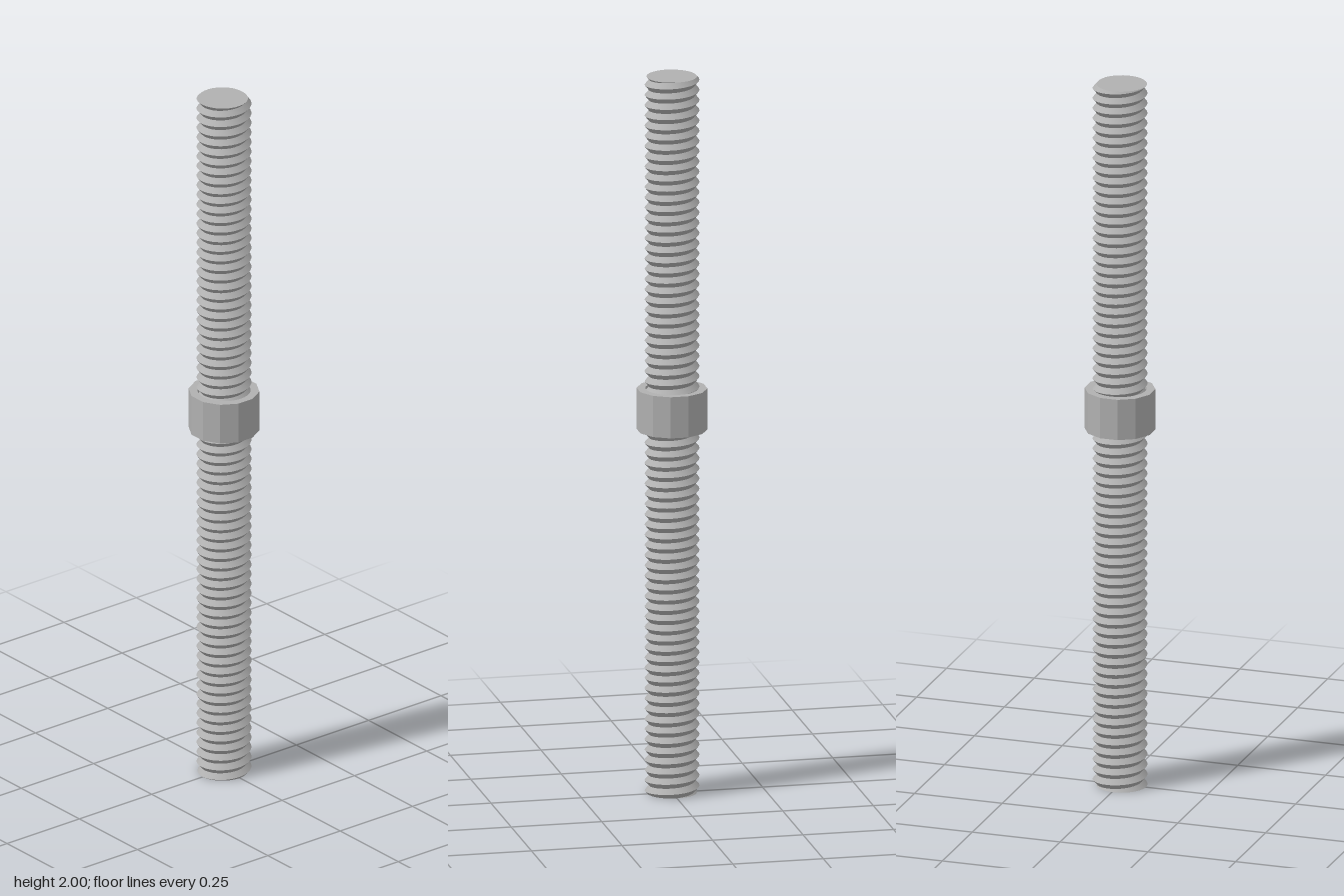
import * as THREE from 'three';

const HEIGHT = 2, TURNS = 70, PITCH = HEIGHT / TURNS, SEGS = 32;
const ROOT = 0.062, CREST = 0.074;

// V-shaped thread: radius at a given height and angle around the rod
function threadRadius(y, angle) {
  const u = y / PITCH - angle / (2 * Math.PI);
  const f = u - Math.floor(u);
  return ROOT + (CREST - ROOT) * (1 - Math.abs(2 * f - 1));
}

function pointOn(y, angle) {
  const r = threadRadius(y, angle);
  return [r * Math.cos(angle), y, -r * Math.sin(angle)];
}

// One helical flank between two offsets of the pitch, trimmed at the rod ends
function flankGeometry(from, to) {
  const pos = [], idx = [];
  const clampY = (y) => Math.min(HEIGHT, Math.max(0, y));
  const steps = (TURNS + 2) * SEGS;
  for (let i = 0; i <= steps; i++) {
    const turn = i / SEGS - 1;
    const angle = turn * 2 * Math.PI;
    for (const offset of [from, to]) pos.push(...pointOn(clampY((turn + offset) * PITCH), angle));
    if (i < steps) {
      const a = i * 2;
      idx.push(a, a + 2, a + 1, a + 1, a + 2, a + 3);
    }
  }
  const geo = new THREE.BufferGeometry();
  geo.setAttribute('position', new THREE.Float32BufferAttribute(pos, 3));
  geo.setIndex(idx);
  geo.computeVertexNormals();
  return geo;
}

// Flat rod end whose rim follows the cut thread
function endGeometry(y, up) {
  const pos = [0, y, 0], idx = [];
  for (let i = 0; i < SEGS; i++) {
    pos.push(...pointOn(y, (i / SEGS) * 2 * Math.PI));
    const a = i + 1, b = ((i + 1) % SEGS) + 1;
    idx.push(0, up ? a : b, up ? b : a);
  }
  const geo = new THREE.BufferGeometry();
  geo.setAttribute('position', new THREE.Float32BufferAttribute(pos, 3));
  geo.setIndex(idx);
  geo.computeVertexNormals();
  return geo;
}

// Twelve-sided nut with a round bore, flats facing the axes
function nutGeometry(bottom, top) {
  const shape = new THREE.Shape();
  const r = 0.0925 / Math.cos(Math.PI / 12);
  for (let i = 0; i < 12; i++) {
    const a = ((i + 0.5) / 12) * 2 * Math.PI;
    if (i === 0) shape.moveTo(r * Math.cos(a), r * Math.sin(a));
    else shape.lineTo(r * Math.cos(a), r * Math.sin(a));
  }
  shape.closePath();
  const bore = new THREE.Path();
  bore.absarc(0, 0, 0.072, 0, 2 * Math.PI, true);
  shape.holes.push(bore);
  const geo = new THREE.ExtrudeGeometry(shape, { depth: top - bottom, bevelEnabled: false, curveSegments: 16 });
  geo.rotateX(-Math.PI / 2);
  geo.translate(0, bottom, 0);
  return geo;
}

export function createModel() {
  const steel = new THREE.MeshStandardMaterial({ color: 0xb0b0b0 });
  steel.name = 'steel';

  const model = new THREE.Group();
  model.name = 'threadedRodWithNut';
  const rod = new THREE.Group();
  rod.name = 'threadedRod';
  const add = (parent, name, geo) => {
    const mesh = new THREE.Mesh(geo, steel);
    mesh.name = name;
    parent.add(mesh);
  };

  // Rod
  add(rod, 'lowerThreadFlank', flankGeometry(0, 0.5));
  add(rod, 'upperThreadFlank', flankGeometry(0.5, 1));
  add(rod, 'topEnd', endGeometry(HEIGHT, true));
  add(rod, 'bottomEnd', endGeometry(0, false));
  model.add(rod);

  // Nut
  add(model, 'nut', nutGeometry(1.015, 1.13));
  return model;
}
